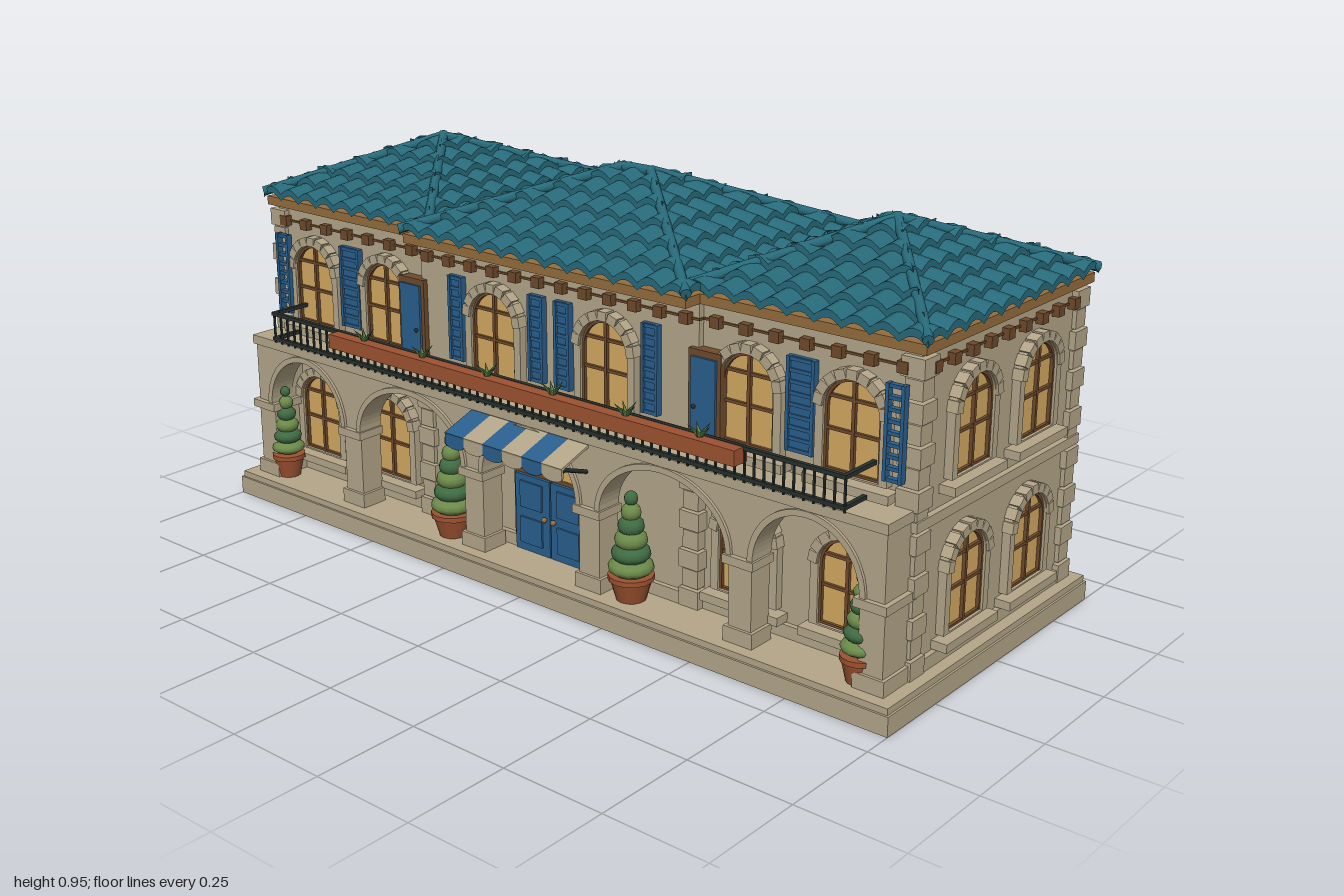
import * as THREE from 'three';

const M = (name, color, side = THREE.FrontSide) => {
  const m = new THREE.MeshStandardMaterial({ color, side });
  m.name = name;
  return m;
};

export function createModel() {
  const stone = M('stone', 0xb3a588), glass = M('warm glass', 0xd2a860), wood = M('dark wood', 0x6e4a2c);
  const fascia = M('eave wood', 0x946c3c), teal = M('roof tile', 0x276a7a, THREE.DoubleSide);
  const blue = M('blue paint', 0x2a5f8c), clay = M('terracotta', 0x9c5230);
  const leaf = M('light leaf', 0x6c8a4a), darkLeaf = M('dark leaf', 0x3f6b42), iron = M('iron', 0x26302c);
  const model = new THREE.Group();
  model.name = 'villa';

  const add = (p, name, geo, mat, x = 0, y = 0, z = 0) => {
    const m = new THREE.Mesh(geo, mat);
    m.name = name;
    m.position.set(x, y, z);
    p.add(m);
    return m;
  };
  const box = (p, name, mat, x0, x1, y0, y1, z0, z1) =>
    add(p, name, new THREE.BoxGeometry(x1 - x0, y1 - y0, z1 - z0), mat, (x0 + x1) / 2, (y0 + y1) / 2, (z0 + z1) / 2);
  const group = (name, x, y, z, rot = 0) => {
    const g = new THREE.Group();
    g.name = name;
    g.position.set(x, y, z);
    g.rotation.y = rot;
    model.add(g);
    return g;
  };
  const rod = (p, name, mat, a, b, r, sides = 6) => {
    const A = new THREE.Vector3(...a), d = new THREE.Vector3(...b).sub(A);
    const m = add(p, name, new THREE.CylinderGeometry(r, r, d.length(), sides), mat);
    m.position.copy(A).addScaledVector(d, 0.5);
    m.quaternion.setFromUnitVectors(new THREE.Vector3(0, 1, 0), d.normalize());
  };

  // Base and walls
  box(model, 'baseSlab', stone, -1, 1, 0, 0.045, -0.4, 0.43);
  box(model, 'baseTop', stone, -0.995, 0.995, 0.045, 0.06, -0.395, 0.425);
  const mass = (name, x0, x1, z0, z1) => {
    box(model, name + 'Wall', stone, x0, x1, 0.06, 0.76, z0, z1);
    box(model, name + 'Plinth', stone, x0 - 0.012, x1 + 0.012, 0.06, 0.09, z0 - 0.012, z1 + 0.012);
    box(model, name + 'Band', stone, x0 - 0.014, x1 + 0.014, 0.385, 0.408, z0 - 0.014, z1 + 0.014);
    box(model, name + 'Frieze', wood, x0 - 0.004, x1 + 0.004, 0.719, 0.724, z0 - 0.004, z1 + 0.004);
  };
  mass('centre', -0.42, 0.42, -0.33, 0.305);
  mass('leftWing', 0.42, 0.955, -0.355, 0.29);
  mass('rightWing', -0.955, -0.42, -0.355, 0.29);

  // Corner quoins
  const quoins = (x, z, sx, sz, top) => {
    for (let i = 0; 0.06 + i * 0.046 < top - 0.02; i++) {
      const w = i % 2 ? 0.042 : 0.054, o = i % 2 ? 0.01 : 0.015, y = 0.06 + i * 0.046;
      add(model, 'quoin', new THREE.BoxGeometry(w, 0.042, w), stone, x + sx * (o - w / 2), y + 0.022, z + sz * (o - w / 2));
    }
  };
  for (const s of [-1, 1]) {
    quoins(s * 0.955, 0.29, s, 1, 0.755);
    quoins(s * 0.955, -0.355, s, -1, 0.755);
    quoins(s * 0.425, -0.355, -s, -1, 0.755);
    quoins(s * 0.42, 0.305, s, 1, 0.4);
  }

  // Eave brackets
  const brackets = (x0, x1, z, alongZ) => {
    const n = Math.round((x1 - x0) / 0.072);
    for (let i = 0; i <= n; i++) {
      const u = x0 + (x1 - x0) * i / n;
      add(model, 'eaveBracket', new THREE.BoxGeometry(0.025, 0.025, 0.025), wood, alongZ ? z : u, 0.722, alongZ ? u : z);
    }
  };
  brackets(-0.39, 0.39, 0.31); brackets(-0.39, 0.39, -0.335);
  for (const s of [-1, 1]) {
    brackets(s > 0 ? 0.46 : -0.92, s > 0 ? 0.92 : -0.46, 0.295);
    brackets(s > 0 ? 0.46 : -0.92, s > 0 ? 0.92 : -0.46, -0.36);
    brackets(-0.31, 0.255, s * 0.96, true);
  }

  // Arched windows and doors
  const arch = (hw, spring, y0 = 0, C = THREE.Shape) => {
    const s = new C();
    s.moveTo(-hw, y0); s.lineTo(hw, y0); s.lineTo(hw, spring);
    s.absarc(0, spring, hw, 0, Math.PI, false); s.lineTo(-hw, y0);
    return s;
  };
  const ring = (ro, ri, spring, depth) => {
    const s = arch(ro, spring);
    s.holes.push(arch(ri, spring, 0.004, THREE.Path));
    return new THREE.ExtrudeGeometry(s, { depth, bevelEnabled: false, curveSegments: 10 });
  };
  const opening = (x, y, z, rot, door) => {
    const g = group(door ? 'archedDoor' : 'archedWindow', x, y, z, rot), sp = door ? 0.19 : 0.14;
    add(g, 'stoneSurround', ring(0.088, 0.068, sp, 0.02), stone);
    for (let i = 0; i < 9; i++) {
      const a = Math.PI * (i + 0.5) / 9;
      const v = add(g, 'archStone', new THREE.BoxGeometry(0.022, 0.025, 0.026), stone, Math.cos(a) * 0.08, sp + Math.sin(a) * 0.08, 0.013);
      v.rotation.z = a;
    }
    add(g, 'frame', ring(0.07, 0.062, sp, 0.014), door ? blue : wood);
    add(g, 'pane', new THREE.ShapeGeometry(arch(0.068, sp), 10), door ? blue : glass, 0, 0, 0.006);
    if (door) {
      for (const s of [-1, 1]) for (const h of [0.1, 0.16]) box(g, 'doorPane', glass, s * 0.028 - 0.02, s * 0.028 + 0.02, h, h + 0.05, 0.004, 0.01);
      add(g, 'fanlight', new THREE.CircleGeometry(0.045, 10, 0, Math.PI), glass, 0, sp + 0.025, 0.009);
      box(g, 'doorJoint', iron, -0.002, 0.002, 0, 0.21, 0.004, 0.012);
      box(g, 'lowerStep', stone, -0.115, 0.115, -0.048, -0.025, 0.03, 0.475 + z);
      box(g, 'upperStep', stone, -0.085, 0.085, -0.025, -0.01, 0.03, 0.43 + z);
    } else {
      box(g, 'mullion', wood, -0.004, 0.004, 0, 0.207, 0.002, 0.014);
      for (const h of [0.002, 0.09, 0.16]) box(g, 'glazingBar', wood, -0.066, 0.066, h, h + 0.007, 0.002, 0.013);
      box(g, 'sill', stone, -0.104, 0.104, -0.027, -0.007, 0, 0.038);
    }
  };
  for (const y of [0.12, 0.465]) {
    const low = y < 0.3;
    for (const s of [-1, 1]) {
      for (const z of [0.1, -0.16]) opening(s * 0.955, y, z, s * Math.PI / 2);
      for (const x of [0.55, 0.81]) opening(s * x, y, 0.29, 0);
      if (!low) opening(s * 0.17, y, 0.305, 0);
    }
    for (const [x, z, d] of [[0.81, -0.355, 0], [0.54, -0.355, 1], [0.21, -0.33, 0], [-0.22, -0.33, 1], [-0.55, -0.355, 0], [-0.82, -0.355, 1]])
      opening(x, low && d ? 0.06 : y, z, Math.PI, low && d);
  }

  // Louvred shutters
  const shutter = (x, z, w, solid) => {
    const g = group('shutter', x, 0.485, z);
    if (solid) box(g, 'panel', blue, -w / 2, w / 2, 0, 0.205, 0, 0.01);
    for (const s of [-1, 1]) box(g, 'stile', blue, s * (w / 2 - 0.004) - 0.004, s * (w / 2 - 0.004) + 0.004, 0, 0.205, 0, 0.016);
    for (let i = 0; i < 9; i++) box(g, 'slat', blue, -w / 2, w / 2, i * 0.0245, i * 0.0245 + 0.008, 0, 0.014);
  };
  for (const s of [-1, 1]) {
    shutter(s * 0.04, 0.305, 0.046, true);
    shutter(s * 0.295, 0.305, 0.046, true);
    shutter(s * 0.68, 0.29, 0.07, true);
    shutter(s * 0.915, 0.305, 0.045, false);
    const g = group('balconyDoor', s * 0.445, 0.435, 0.29);
    box(g, 'doorFrame', wood, -0.043, 0.043, 0, 0.225, 0, 0.028);
    box(g, 'doorLeaf', blue, -0.033, 0.033, 0, 0.21, 0.02, 0.034);
    add(g, 'doorKnob', new THREE.SphereGeometry(0.005, 8, 6), iron, -s * 0.022, 0.1, 0.037);
  }

  // Arcade with arches, piers and balcony slab
  const wall = new THREE.Shape();
  const bays = [[-0.767, 0.132], [-0.39, 0.175], [0, 0.145], [0.39, 0.175], [0.767, 0.132]];
  wall.moveTo(-0.955, 0.411); wall.lineTo(-0.955, 0.26);
  for (const [c, hw] of bays) {
    wall.lineTo(c - hw, 0.26);
    wall.absellipse(c, 0.26, hw, 0.135, Math.PI, 0, true);
  }
  wall.lineTo(0.955, 0.26); wall.lineTo(0.955, 0.411);
  add(model, 'arcadeWall', new THREE.ExtrudeGeometry(wall, { depth: 0.06, bevelEnabled: false, curveSegments: 16 }), stone, 0, 0, 0.328);
  for (const [c, hw] of bays) {
    const s = new THREE.Shape();
    s.absellipse(c, 0.26, hw + 0.014, 0.149, 0, Math.PI, false);
    s.absellipse(c, 0.26, hw, 0.135, Math.PI, 0, true);
    add(model, 'archMoulding', new THREE.ExtrudeGeometry(s, { depth: 0.012, bevelEnabled: false, curveSegments: 16 }), stone, 0, 0, 0.383);
  }
  for (const x of [-0.927, -0.6, -0.18, 0.18, 0.6, 0.927]) {
    const end = Math.abs(x) > 0.9, z0 = end ? 0.29 : 0.325;
    box(model, 'pier', stone, x - 0.03, x + 0.03, 0.06, 0.26, z0, 0.388);
    box(model, 'pierBase', stone, x - 0.038, x + 0.038, 0.06, 0.095, z0, 0.395);
    box(model, 'pierCapital', stone, x - 0.04, x + 0.04, 0.24, 0.26, z0, 0.4);
    if (end) box(model, 'arcadeEnd', stone, x - 0.028, x + 0.028, 0.26, 0.411, z0, 0.388);
  }
  box(model, 'balconySlab', stone, -0.96, 0.96, 0.41, 0.433, 0.285, 0.395);

  // Railing and planter
  for (const y of [0.44, 0.505]) {
    box(model, 'rail', iron, -0.86, 0.86, y, y + 0.009, 0.396, 0.406);
    for (const s of [-1, 1]) box(model, 'sideRail', iron, s * 0.86 - 0.005, s * 0.86 + 0.005, y, y + 0.009, 0.29, 0.406);
  }
  for (let i = 0; i <= 70; i++) box(model, 'baluster', iron, -0.862 + i * 0.0246, -0.858 + i * 0.0246, 0.434, 0.51, 0.399, 0.404);
  box(model, 'planter', clay, -0.615, 0.615, 0.478, 0.513, 0.392, 0.436);
  for (const x of [-0.51, -0.31, -0.1, 0.1, 0.31, 0.51]) for (let k = 0; k < 5; k++) {
    const a = k * 1.257, l = add(model, 'planterLeaf', new THREE.ConeGeometry(0.007, 0.04, 5), k % 2 ? leaf : darkLeaf, x + Math.cos(a) * 0.012, 0.525, 0.414 + Math.sin(a) * 0.012);
    l.rotation.set(Math.sin(a) * 0.8, 0, -Math.cos(a) * 0.8);
  }

  // Main entrance
  const entry = group('entrance', 0, 0.06, 0.305);
  box(entry, 'entranceFrame', wood, -0.12, 0.12, 0, 0.2, 0, 0.008);
  for (const s of [-1, 1]) {
    box(entry, 'doorLeaf', blue, s * 0.056 - 0.054, s * 0.056 + 0.054, 0, 0.19, 0.004, 0.016);
    for (const y of [0.02, 0.11]) box(entry, 'doorPanel', blue, s * 0.058 - 0.034, s * 0.058 + 0.034, y, y + 0.065, 0.014, 0.021);
    add(entry, 'handle', new THREE.SphereGeometry(0.007, 8, 6), fascia, s * 0.014, 0.095, 0.022);
    rod(entry, 'fanBar', wood, [0, 0.195, 0.01], [s * 0.08, 0.26, 0.01], 0.004);
  }
  add(entry, 'fanlight', new THREE.CircleGeometry(0.112, 20, 0, Math.PI), glass, 0, 0.195, 0.007);
  add(entry, 'fanlightFrame', new THREE.TorusGeometry(0.112, 0.007, 6, 20, Math.PI), wood, 0, 0.195, 0.006);

  // Striped awning
  for (let i = 0; i < 6; i++) {
    const mat = i % 2 ? stone : blue, x = -0.15 + i * 0.06;
    const s = add(model, 'awningStripe', new THREE.BoxGeometry(0.06, 0.006, 0.094), mat, x, 0.388, 0.432);
    s.rotation.x = 0.33;
    box(model, 'awningValance', mat, x - 0.03, x + 0.03, 0.352, 0.375, 0.471, 0.476);
    const flap = add(model, 'awningScallop', new THREE.CylinderGeometry(0.03, 0.03, 0.005, 10, 1, false, -Math.PI / 2, Math.PI), mat, x, 0.352, 0.4735);
    flap.rotation.x = Math.PI / 2;
    flap.scale.z = 0.4;
  }
  for (const s of [-1, 1]) rod(model, 'awningArm', iron, [s * 0.175, 0.343, 0.39], [s * 0.175, 0.372, 0.472], 0.005);

  // Potted topiaries
  for (const [x, r, h] of [[-0.885, 0.042, 0.185], [-0.28, 0.053, 0.2], [0.28, 0.053, 0.2], [0.885, 0.042, 0.185]]) {
    const g = group('pottedTree', x, 0.06, 0.362);
    add(g, 'pot', new THREE.CylinderGeometry(r * 0.95, r * 0.65, 0.055, 14), clay, 0, 0.0275, 0);
    add(g, 'potRim', new THREE.CylinderGeometry(r, r, 0.012, 14), clay, 0, 0.054, 0);
    for (let i = 0; i < 6; i++) {
      const t = add(g, 'foliageTier', new THREE.SphereGeometry(r * (1 - i * 0.14), 12, 8), i % 2 ? darkLeaf : leaf, 0, 0.078 + h * i / 6.2, 0);
      t.scale.y = 0.45 + i * 0.12;
    }
  }

  // Hipped roofs with barrel tiles laid in overlapping courses
  const roof = (name, x0, x1, z0, z1, y0, y1, rh) => {
    const cx = (x0 + x1) / 2, cz = (z0 + z1) / 2, W = x1 - x0, L = z1 - z0, rows = 6, pos = [];
    const slopes = [[x0, z1, 1, 0, 0, -1, W, W / 2 - rh, L / 2], [x1, z1, 0, -1, -1, 0, L, L / 2, W / 2 - rh],
      [x1, z0, -1, 0, 0, 1, W, W / 2 - rh, L / 2], [x0, z0, 0, 1, 1, 0, L, L / 2, W / 2 - rh]];
    for (const [ox, oz, dx, dz, ix, iz, len, inset, depth] of slopes) {
      const cols = Math.round(len / 0.067), n = cols * 6;
      const top = s => Math.min(1, s / inset, (len - s) / inset);
      const pt = (s, t, lift) => [ox + dx * s + ix * t * depth,
        y0 + (y1 - y0) * t + 0.017 * Math.abs(Math.sin(Math.PI * s * cols / len)) + lift, oz + dz * s + iz * t * depth];
      const quad = (a, b, c, d) => pos.push(...a, ...b, ...c, ...a, ...c, ...d);
      for (let i = 0; i < n; i++) for (let r = 0; r < rows; r++) {
        const s = [i * len / n, (i + 1) * len / n], m = s.map(top), t0 = r / rows, t1 = (r + 1) / rows;
        if (Math.max(...m) <= t0) continue;
        const lo = m.map(v => Math.min(t0, v)), hi = m.map(v => Math.min(t1, v));
        const up = t => 0.015 * (1 - (t - t0) * rows);
        quad(pt(s[0], lo[0], 0.015), pt(s[1], lo[1], 0.015), pt(s[1], hi[1], up(hi[1])), pt(s[0], hi[0], up(hi[0])));
        quad(pt(s[0], lo[0], -0.002), pt(s[1], lo[1], -0.002), pt(s[1], lo[1], 0.015), pt(s[0], lo[0], 0.015));
      }
    }
    const g = new THREE.BufferGeometry();
    g.setAttribute('position', new THREE.Float32BufferAttribute(pos, 3));
    g.computeVertexNormals();
    add(model, name + 'Tiles', g, teal);
    for (const sx of [-1, 1]) for (const sz of [-1, 1])
      rod(model, 'hipCap', teal, [cx + sx * W / 2, y0 + 0.014, cz + sz * L / 2], [cx + sx * rh, y1 + 0.012, cz], 0.012, 8);
    if (rh) rod(model, 'ridgeCap', teal, [cx - rh, y1 + 0.01, cz], [cx + rh, y1 + 0.01, cz], 0.013, 8);
    else add(model, 'peakCap', new THREE.SphereGeometry(0.016, 8, 6), teal, cx, y1 + 0.01, cz);
    box(model, name + 'Fascia', fascia, x0 + 0.006, x1 - 0.006, 0.757, y0 + 0.002, z0 + 0.006, z1 - 0.006);
  };
  roof('centreRoof', -0.43, 0.43, -0.347, 0.363, 0.777, 0.925, 0.04);
  roof('leftRoof', 0.385, 0.98, -0.382, 0.315, 0.777, 0.907, 0);
  roof('rightRoof', -0.98, -0.385, -0.382, 0.315, 0.777, 0.907, 0);

  // Centre the depth on z = 0
  const holder = new THREE.Group();
  holder.name = 'villaModel';
  holder.add(model);
  return holder;
}
